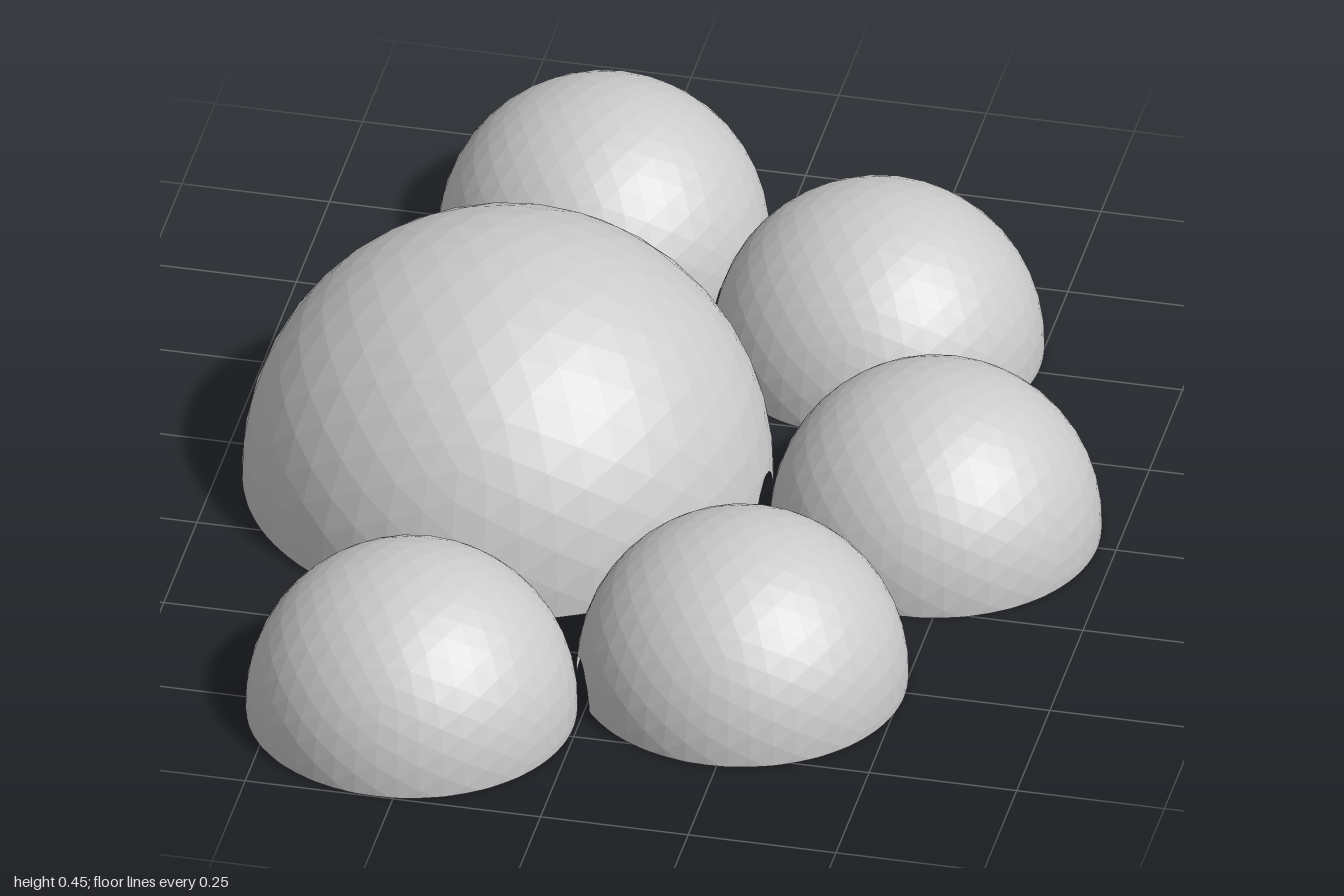
import * as THREE from 'three';

const RISE = 0.015;       // sphere centres sit slightly above the ground
const BIG = 0.44, SMALL = 0.275, RING = 0.725;
const DOOR = 0.06;        // doorway arch radius

const material = new THREE.MeshStandardMaterial({
  color: 0xcccccc, flatShading: true, side: THREE.DoubleSide,
});

// Keep the part of each triangle where field(point) > 0
function clip(triangles, field) {
  const out = [];
  for (const tri of triangles) {
    const d = tri.map(field), poly = [];
    for (let i = 0; i < 3; i++) {
      const j = (i + 1) % 3;
      if (d[i] > 0) poly.push(tri[i]);
      if ((d[i] > 0) !== (d[j] > 0)) poly.push(tri[i].clone().lerp(tri[j], d[i] / (d[i] - d[j])));
    }
    for (let k = 1; k + 1 < poly.length; k++) out.push([poly[0], poly[k], poly[k + 1]]);
  }
  return out;
}

// Split the triangles near a doorway, so that its arch is cut smoothly
function refine(triangles, field, reach, times) {
  for (; times > 0; times--) {
    triangles = triangles.flatMap((t) => {
      if (Math.min(...t.map(field)) > reach) return [t];
      const [a, b, c] = t;
      const mid = (p, q) => p.clone().lerp(q, 0.5);
      const ab = mid(a, b), bc = mid(b, c), ca = mid(c, a);
      return [[a, ab, ca], [ab, b, bc], [ca, bc, c], [ab, bc, ca]];
    });
  }
  return triangles;
}

// Open faceted half sphere with arched doorways facing the given centres
function dome(name, radius, center, neighbours) {
  const pos = new THREE.IcosahedronGeometry(radius, 7).getAttribute('position');
  let triangles = [];
  for (let i = 0; i < pos.count; i += 3) {
    triangles.push([0, 1, 2].map((k) =>
      new THREE.Vector3().fromBufferAttribute(pos, i + k).add(new THREE.Vector3(0, RISE, 0))));
  }
  triangles = clip(triangles, (p) => p.y);
  for (const n of neighbours) {
    const dir = n.clone().sub(center).normalize();
    const field = (p) => (p.dot(dir) < 0 ? 1
      : Math.hypot(p.x * dir.z - p.z * dir.x, p.y) - DOOR);
    triangles = clip(refine(triangles, field, 0.04, 2), field);
  }
  const geometry = new THREE.BufferGeometry().setFromPoints(triangles.flat());
  geometry.computeVertexNormals();
  const mesh = new THREE.Mesh(geometry, material);
  mesh.name = name;
  mesh.position.copy(center);
  return mesh;
}

export function createModel() {
  const group = new THREE.Group();
  group.name = 'domeCluster';

  // Five small domes on a half ring around the main one
  const main = new THREE.Vector3(-0.28, 0, 0);
  const ring = [-2, -1, 0, 1, 2].map((i) => {
    const a = i * Math.PI / 4;
    return new THREE.Vector3(main.x + RING * Math.cos(a), 0, RING * Math.sin(a));
  });

  group.add(dome('mainDome', BIG, main, ring));
  ring.forEach((c, i) => {
    const neighbours = [main, ring[i - 1], ring[i + 1]].filter(Boolean);
    group.add(dome(`smallDome${i + 1}`, SMALL, c, neighbours));
  });
  return group;
}
